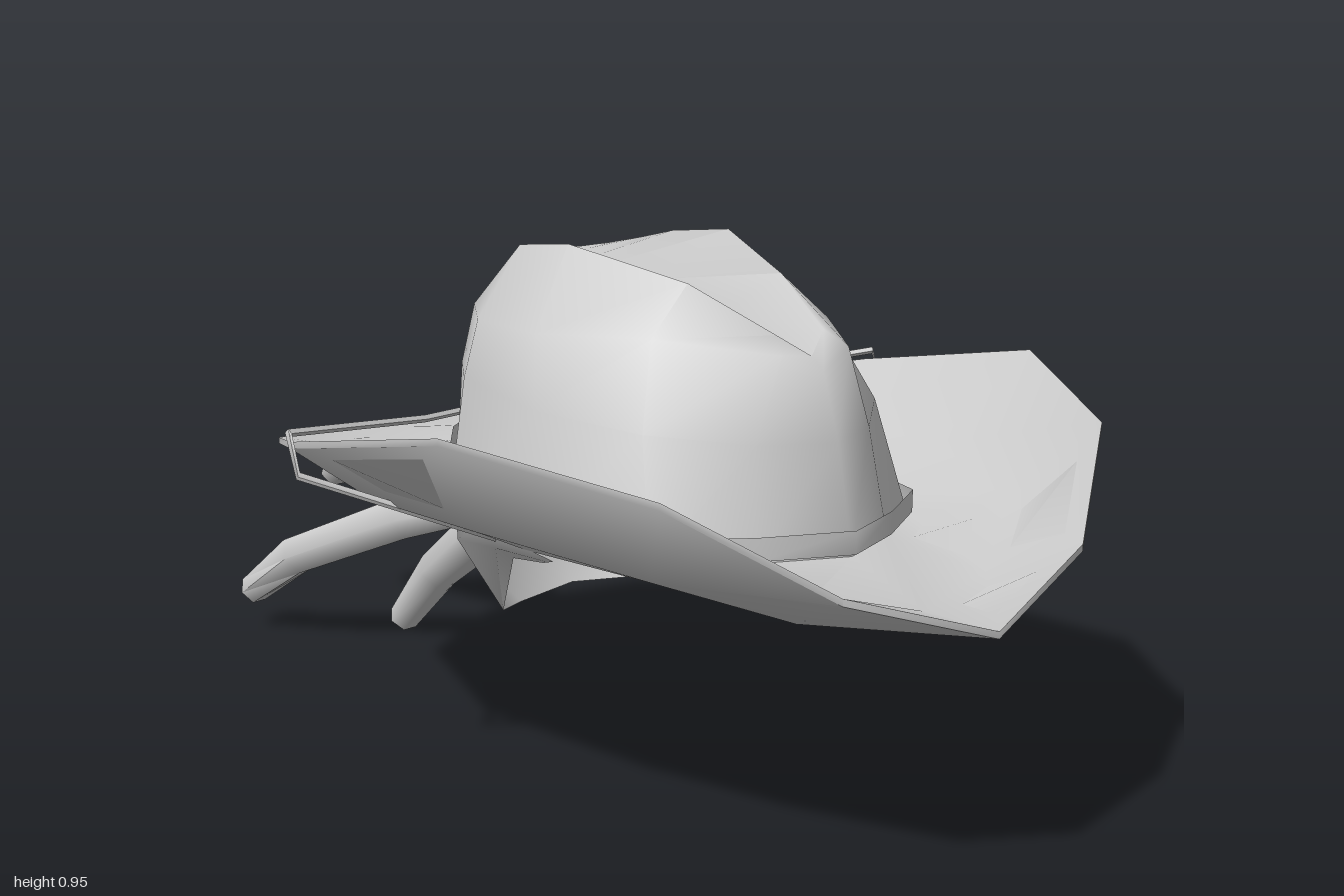
import * as THREE from 'three';
import { toCreasedNormals } from 'three/addons/utils/BufferGeometryUtils.js';

const material = new THREE.MeshStandardMaterial({ color: 0xcccccc, side: THREE.DoubleSide });

// Skins a list of equal-length rings; closed rings wrap around.
function loft(rings, closed = true, crease = 1) {
  const n = rings[0].length, index = [];
  for (let r = 0; r < rings.length - 1; r++) {
    for (let i = 0; i < (closed ? n : n - 1); i++) {
      const j = (i + 1) % n;
      const a = r * n + i, b = r * n + j, c = b + n, d = a + n;
      index.push(a, b, c, a, c, d);
    }
  }
  const geo = new THREE.BufferGeometry();
  geo.setAttribute('position', new THREE.Float32BufferAttribute(rings.flat(2), 3));
  geo.setIndex(index);
  return toCreasedNormals(geo, crease);
}

// Half ring from front centre round the left side to back centre, mirrored to a full ring.
const fullRing = half => [...half, ...half.slice(1, -1).reverse().map(([x, y, z]) => [-x, y, z])];
const flip = ([x, y, z]) => [-x, y, z];
const shift = (ring, dy, grow = 1) => ring.map(([x, y, z]) => [x * grow, y + dy, 0.2 + (z - 0.2) * grow]);

// Tapered tube along a polyline, with both ends capped.
function taperTube(points, radii, sides = 6) {
  const pts = points.map(p => new THREE.Vector3(...p));
  const up = new THREE.Vector3(0, 1, 0);
  const ring = (k, radius) => {
    const t = pts[Math.min(k + 1, pts.length - 1)].clone().sub(pts[Math.max(k - 1, 0)]).normalize();
    const side = t.clone().cross(up).normalize();
    const top = side.clone().cross(t);
    return Array.from({ length: sides }, (_, i) => {
      const a = -i / sides * Math.PI * 2;
      return pts[k].clone().addScaledVector(side, Math.cos(a) * radius)
        .addScaledVector(top, Math.sin(a) * radius).toArray();
    });
  };
  const rings = pts.map((_, k) => ring(k, radii[k] ?? radii[0]));
  return loft([ring(0, 0), ...rings, ring(pts.length - 1, 0)], true, 1.1);
}

export function createModel() {
  const model = new THREE.Group();
  const add = (name, geo) => {
    const mesh = new THREE.Mesh(geo, material);
    mesh.name = name;
    model.add(mesh);
  };

  // Brim: thin shell, upturned at the sides
  const base = [[0, 0.5, 0.67], [0.14, 0.495, 0.6], [0.28, 0.49, 0.5], [0.35, 0.485, 0.25],
    [0.35, 0.5, 0], [0.24, 0.55, -0.15], [0.11, 0.575, -0.21], [0, 0.58, -0.23]];
  const middle = [[0, 0.452, 0.84], [0.2, 0.465, 0.77], [0.38, 0.53, 0.64], [0.5, 0.56, 0.34],
    [0.5, 0.54, 0], [0.36, 0.545, -0.28], [0.16, 0.54, -0.4], [0, 0.54, -0.42]];
  const edge = [[0, 0.462, 1], [0.25, 0.54, 0.93], [0.46, 0.68, 0.77], [0.63, 0.735, 0.44],
    [0.645, 0.645, -0.02], [0.47, 0.555, -0.42], [0.2, 0.51, -0.6], [0, 0.5, -0.625]];
  add('brim', loft([shift(base, -0.015), shift(middle, -0.015), shift(edge, -0.012), edge, middle, base]
    .map(fullRing)));

  // Crown: pinched front and a crease along the top
  const crown = [
    base,
    [[0, 0.68, 0.63], [0.12, 0.68, 0.57], [0.25, 0.69, 0.44], [0.315, 0.7, 0.22],
      [0.315, 0.72, 0], [0.24, 0.72, -0.13], [0.11, 0.73, -0.19], [0, 0.72, -0.2]],
    [[0, 0.79, 0.59], [0.07, 0.82, 0.57], [0.19, 0.83, 0.38], [0.285, 0.82, 0.18],
      [0.285, 0.82, 0], [0.23, 0.83, -0.1], [0.1, 0.82, -0.17], [0, 0.81, -0.18]],
    [[0, 0.81, 0.56], [0.05, 0.845, 0.53], [0.1, 0.912, 0.36], [0.175, 0.957, 0.12],
      [0.17, 0.938, -0.04], [0.13, 0.925, -0.08], [0.07, 0.917, -0.1], [0, 0.915, -0.1]],
    [[0, 0.81, 0.54], [0, 0.82, 0.5], [0, 0.85, 0.33], [0, 0.88, 0.12],
      [0, 0.89, -0.02], [0, 0.9, -0.06], [0, 0.91, -0.09], [0, 0.915, -0.1]],
  ];
  add('crown', loft(crown.map(fullRing), true, 1.2));

  // Narrow band around the foot of the crown
  add('hatBand', loft([0.005, 0.045].map(dy => fullRing(shift(base, dy, 1.02)))));

  // Head cloth hanging under the back of the hat
  const cloth = [
    [[0.35, 0.46, 0.3], [0.3, 0.42, 0.13], [0.24, 0.28, 0], [0.15, 0.26, -0.08], [0, 0.26, -0.13]],
    [[0.36, 0.47, 0.33], [0.33, 0.44, 0.12], [0.28, 0.4, -0.09], [0.13, 0.37, -0.18], [0, 0.36, -0.195]],
    [[0.37, 0.48, 0.36], [0.35, 0.48, 0.1], [0.28, 0.52, -0.1], [0.13, 0.55, -0.18], [0, 0.56, -0.2]],
  ];
  add('headCloth', loft(cloth.map(h => [...h, ...h.slice(0, -1).reverse().map(flip)]), false));

  // Knot and four hanging tails
  add('knot', taperTube([[0, 0.42, -0.18], [0, 0.41, -0.26], [0, 0.395, -0.36]], [0.08, 0.06, 0.045]));
  const tails = {
    leftTail: [[0.02, 0.39, -0.33], [0.09, 0.31, -0.58], [0.21, 0.2, -0.8], [0.25, 0.09, -0.95]],
    rightTail: [[-0.02, 0.39, -0.33], [-0.11, 0.31, -0.58], [-0.25, 0.2, -0.8], [-0.285, 0.09, -0.95]],
    upperTail: [[0, 0.39, -0.33], [-0.02, 0.435, -0.6], [-0.06, 0.395, -0.86], [-0.06, 0.315, -0.985]],
    lowerTail: [[0, 0.38, -0.33], [0, 0.25, -0.51], [0, 0.16, -0.64], [-0.02, 0.025, -0.76]],
  };
  for (const [name, path] of Object.entries(tails)) {
    add(name, taperTube(path, [0.04, 0.05, 0.045, 0.033]));
  }

  // Thin cord passing under the brim, over both edges and meeting behind the crown
  const sideCord = [[0.34, 0.465, 0.14], [0.653, 0.595, 0.02], [0.653, 0.663, -0.01], [0.3, 0.615, -0.165],
    [0, 0.6, -0.285]];
  add('leftCord', taperTube(sideCord, [0.007], 4));
  add('rightCord', taperTube(sideCord.map(flip), [0.007], 4));
  for (const s of [-1, 1]) {
    add(s > 0 ? 'leftCordEnd' : 'rightCordEnd',
      taperTube([[0, 0.6, -0.285], [s * 0.055, 0.548, -0.435]], [0.007], 4));
  }

  // Small worn patch through the left rear of the brim
  const patch = [[0.395, 0.55, -0.34], [0.42, 0.55, -0.365], [0.45, 0.56, -0.355], [0.55, 0.595, -0.12],
    [0.47, 0.565, -0.22]].reverse();
  const centre = patch.map(() => [0.45, 0.565, -0.29]);
  add('brimPatch', loft([shift(centre, -0.022), shift(patch, -0.018), shift(patch, 0.008), shift(centre, 0.01)]));

  return model;
}
